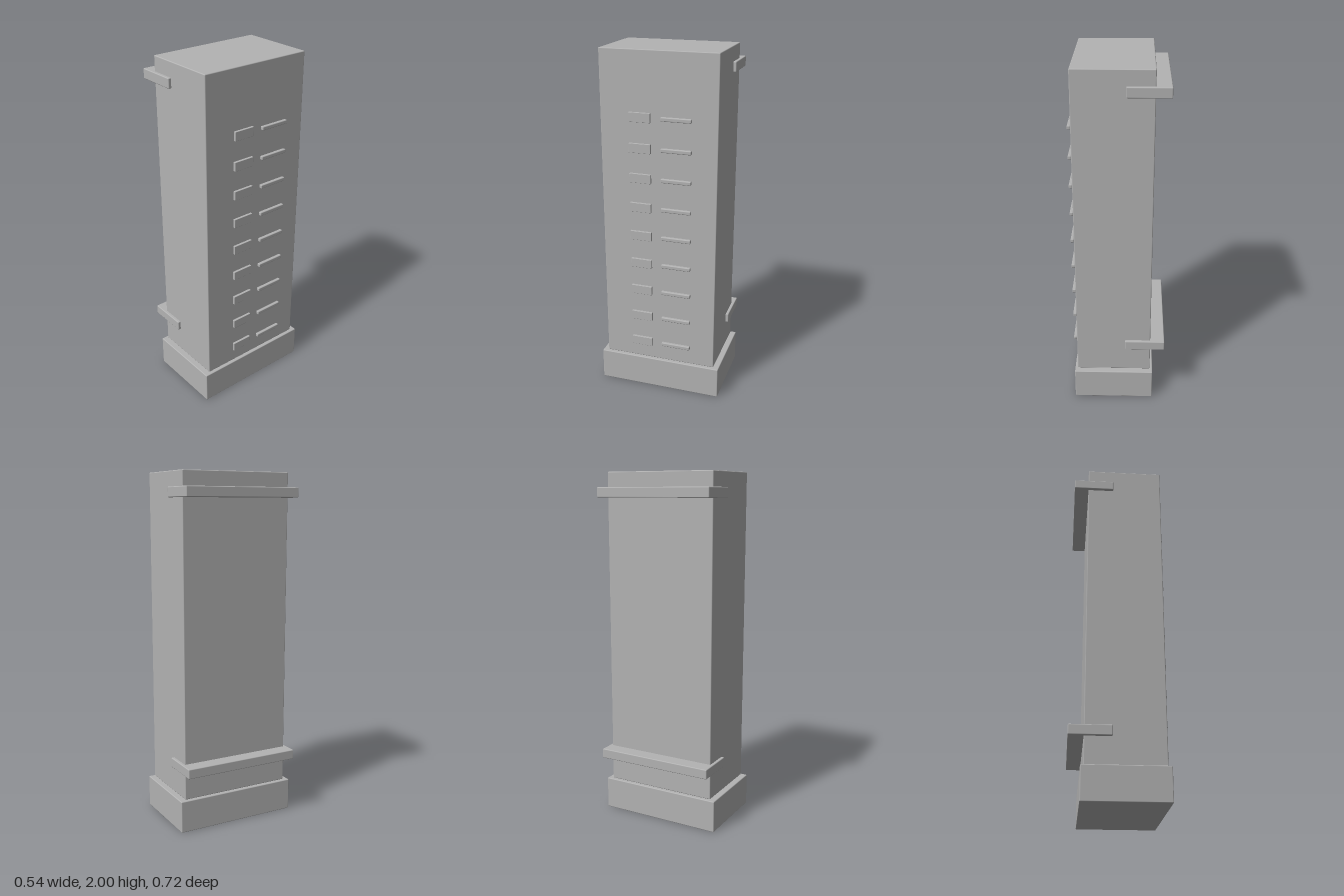
import * as THREE from 'three';
import { RoundedBoxGeometry } from 'three/addons/geometries/RoundedBoxGeometry.js';

const grey = new THREE.MeshStandardMaterial({ color: 0xb3b3b3 });
grey.name = 'grey';

// Softly rounded block given by its [min, max] extent on each axis
function block(name, [x0, x1], [y0, y1], [z0, z1], radius = 0.005) {
  const geometry = new RoundedBoxGeometry(x1 - x0, y1 - y0, z1 - z0, 2, radius);
  const mesh = new THREE.Mesh(geometry, grey);
  mesh.name = name;
  mesh.position.set((x0 + x1) / 2, (y0 + y1) / 2, (z0 + z1) / 2);
  return mesh;
}

export function createModel() {
  const model = new THREE.Group();
  model.name = 'cabinet';

  // Plinth and tall body
  model.add(block('plinth', [-0.206, 0.254], [0, 0.185], [-0.362, 0.361]));
  model.add(block('body', [-0.19, 0.238], [0.187, 2], [-0.33, 0.328]));

  // Brackets wrapping the rear side, low and high
  for (const y of [0.368, 1.888]) {
    model.add(block('bracket', [-0.272, -0.043], [y - 0.028, y + 0.028], [-0.347, 0.345]));
  }

  // Column of nine label plates with a thin handle bar beside each
  const rows = 9;
  for (let i = 0; i < rows; i++) {
    const y = 0.304 + i * 0.1683;
    const row = new THREE.Group();
    row.name = 'drawerRow';
    row.add(block('label', [0.25, 0.265], [y - 0.026, y + 0.026], [0.036, 0.159], 0.002));
    row.add(block('handle', [0.25, 0.27], [y - 0.011, y + 0.011], [-0.192, -0.022], 0.005));
    model.add(row);
  }

  return model;
}
